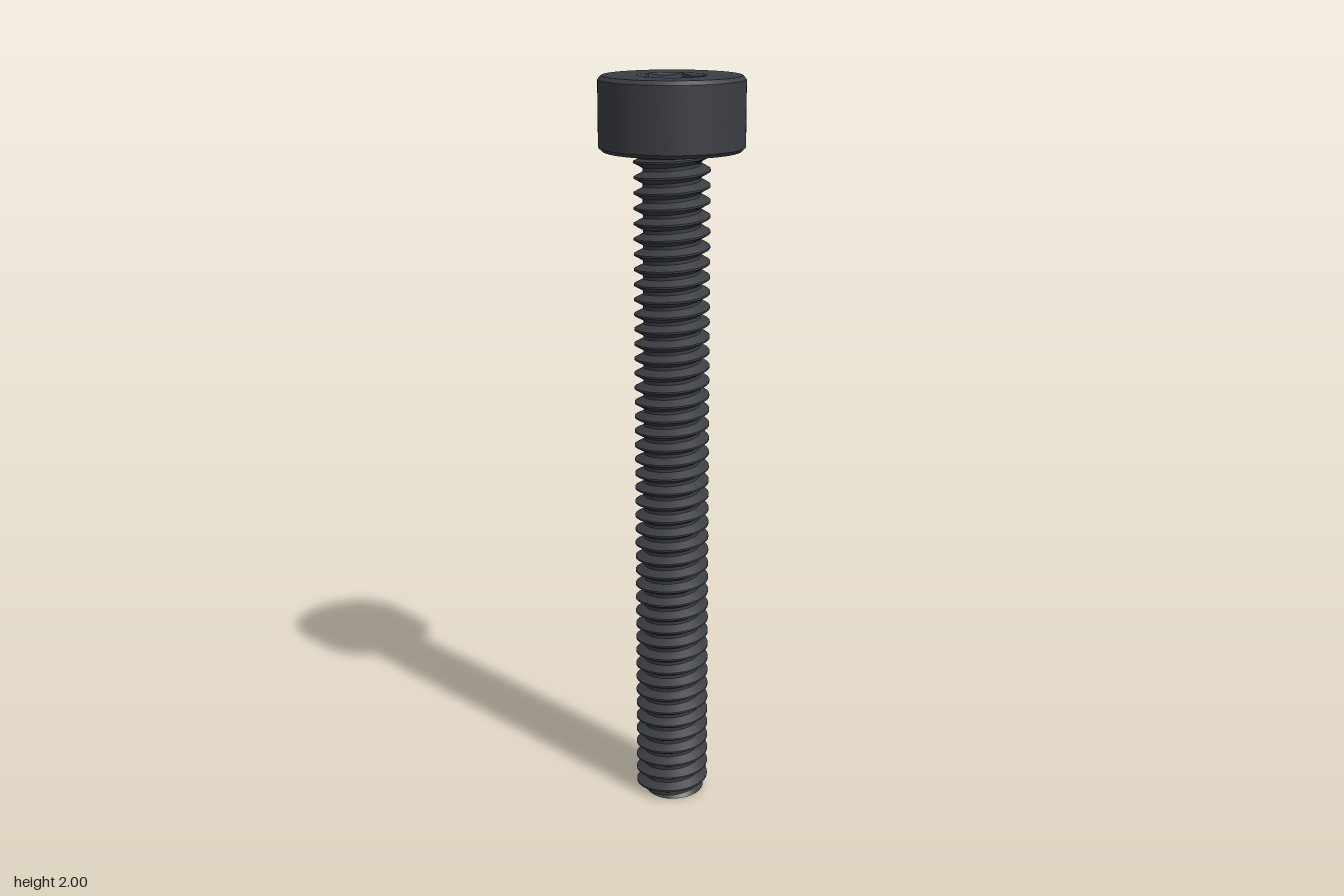
import * as THREE from 'three';
import { toCreasedNormals } from 'three/addons/utils/BufferGeometryUtils.js';

const HEAD_R = 0.19, HEAD_Y = 1.81, TOP = 2, BEVEL = 0.01;
const MAJOR = 0.1, MINOR = 0.076, PITCH = 0.04, SEGS = 48;
const HEX_R = 0.09, SOCKET_DEPTH = 0.1;

// Sharp edges stay sharp; scaled up while welding because the parts are small
function crease(geometry) {
  geometry.scale(100, 100, 100);
  const result = toCreasedNormals(geometry, 0.45);
  return result.scale(0.01, 0.01, 0.01);
}

// Skin over a grid of points; point(row, seg) returns [angle, radius, y]
function skin(rows, segs, point) {
  const positions = [], index = [];
  for (let r = 0; r <= rows; r++) {
    for (let s = 0; s <= segs; s++) {
      const [a, radius, y] = point(r, s);
      positions.push(Math.cos(a) * radius, y, -Math.sin(a) * radius);
      if (r < rows && s < segs) {
        const i = r * (segs + 1) + s, j = i + segs + 1;
        index.push(i, i + 1, j + 1, i, j + 1, j);
      }
    }
  }
  const geometry = new THREE.BufferGeometry();
  geometry.setAttribute('position', new THREE.Float32BufferAttribute(positions, 3));
  geometry.setIndex(index);
  return crease(geometry);
}

const lathe = (points, segs = 96) =>
  crease(new THREE.LatheGeometry(points.map(([x, y]) => new THREE.Vector2(x, y)), segs));

// Thread profile over one pitch: crest, flank, root, flank
const PROFILE = [[0, MAJOR], [0.12, MAJOR], [0.45, MINOR], [0.67, MINOR], [1, MAJOR]];

function threadRadius(angle, y) {
  const turns = y / PITCH - angle / (Math.PI * 2);
  const f = turns - Math.floor(turns);
  const k = PROFILE.findIndex(([v]) => v > f);
  const [v0, r0] = PROFILE[k - 1], [v1, r1] = PROFILE[k];
  const r = r0 + (r1 - r0) * (f - v0) / (v1 - v0);
  return Math.min(r, 0.085 + y);
}

// Right-handed helical thread, trimmed flat at both ends
function threadGeometry() {
  const end = HEAD_Y, turns = Math.ceil(end / PITCH) + 1;
  return skin(turns * 4, SEGS, (row, s) => {
    const angle = s / SEGS * Math.PI * 2;
    const [v, r] = PROFILE[row % 4];
    const y = (Math.floor(row / 4) - 1 + v + s / SEGS) * PITCH;
    if (y <= 0) return [angle, threadRadius(angle, 0), 0];
    if (y >= end) return [angle, threadRadius(angle, end), end];
    return [angle, Math.min(r, 0.085 + y), y];
  });
}

// Hexagonal socket with a conical lead-in, corners on the x axis
function socketGeometry() {
  const segs = 96, floor = TOP - SOCKET_DEPTH;
  return skin(3, segs, (row, s) => {
    const a = s / segs * Math.PI * 2, sector = Math.PI / 3;
    const hex = HEX_R * Math.cos(sector / 2) / Math.cos((a % sector) - sector / 2);
    if (row === 0) return [a, HEX_R, TOP];
    if (row === 1) return [a, hex, TOP - (HEX_R - hex) * 0.6];
    if (row === 2) return [a, hex, floor];
    return [a, 0, floor];
  });
}

export function createModel() {
  const group = new THREE.Group();
  const material = new THREE.MeshStandardMaterial({ color: 0x3a3d42 });
  const add = (name, geometry) => {
    const mesh = new THREE.Mesh(geometry, material);
    mesh.name = name;
    group.add(mesh);
  };

  // Cylindrical head with bevelled rims
  add('head', lathe([
    [0.06, HEAD_Y], [HEAD_R - BEVEL, HEAD_Y], [HEAD_R, HEAD_Y + BEVEL],
    [HEAD_R, TOP - BEVEL], [HEAD_R - BEVEL, TOP], [HEX_R, TOP],
  ]));
  add('hexSocket', socketGeometry());

  // Tapered neck where the shank meets the head
  add('neck', lathe([[MINOR, HEAD_Y - 0.03], [MAJOR, HEAD_Y - 0.004], [MAJOR, HEAD_Y]], 48));

  add('threadedShank', threadGeometry());

  // Flat end of the shank, following the trimmed thread
  add('shankEnd', skin(1, SEGS, (row, s) => {
    const a = s / SEGS * Math.PI * 2;
    return [a, row ? threadRadius(a, 0) : 0, 0];
  }));
  return group;
}
